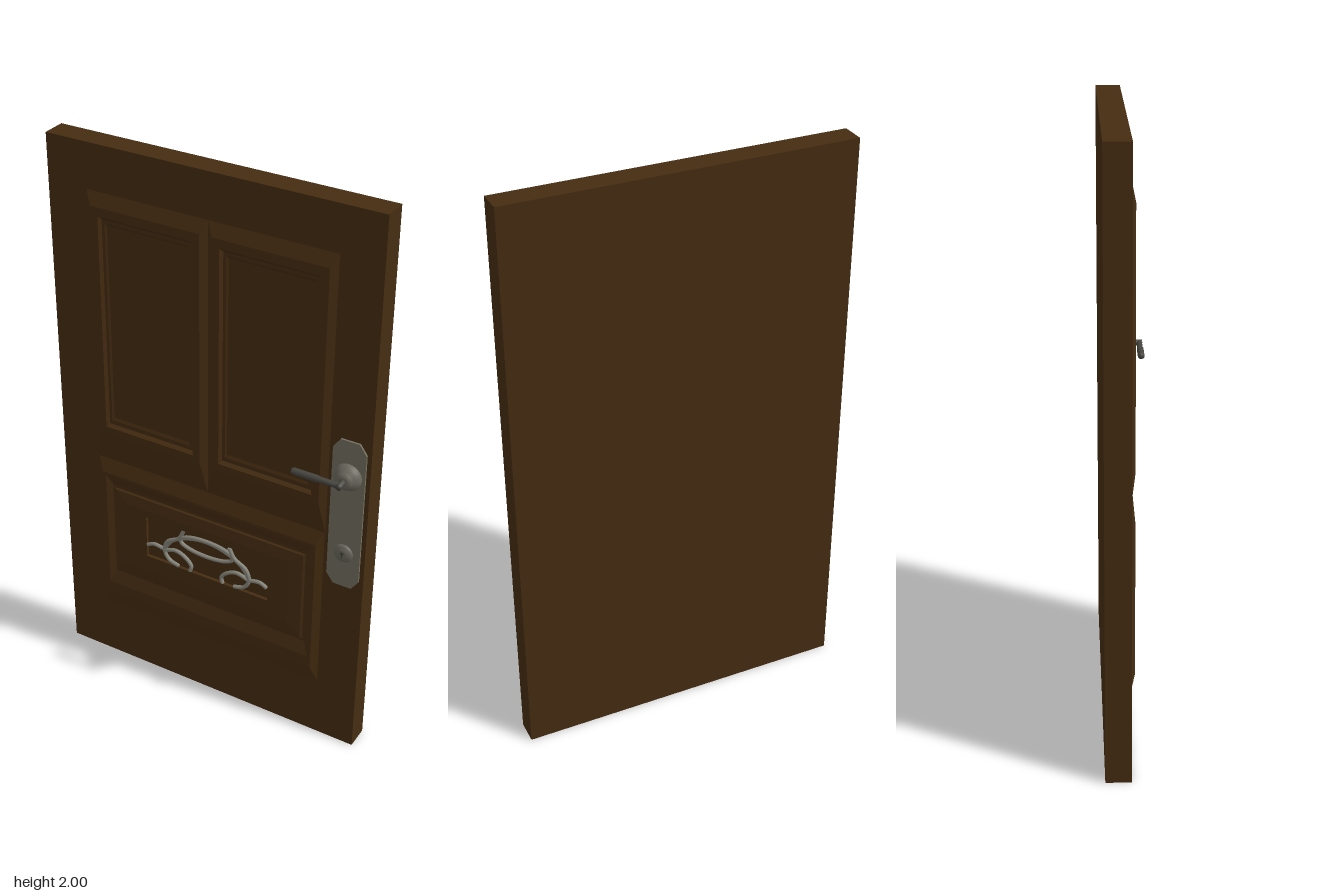
import * as THREE from 'three';

const paint = (color, flatShading = false) =>
  new THREE.MeshStandardMaterial({ color, flatShading, side: THREE.DoubleSide });
const wood = paint(0x452c11, true);
const plateMetal = paint(0x746f5f, true);
const knobMetal = paint(0x69675c);
const leverMetal = paint(0x45443e);
const silver = paint(0x85847a);

function add(parent, name, geometry, material, x = 0, y = 0, z = 0) {
  const mesh = new THREE.Mesh(geometry, material);
  mesh.name = name;
  mesh.position.set(x, y, z);
  parent.add(mesh);
  return mesh;
}

// Nested rectangles [x0, x1, y0, y1, z] joined from outside in, the last one filled
function moulding(rings) {
  const loops = rings.map(([x0, x1, y0, y1, z]) => [[x0, y0, z], [x1, y0, z], [x1, y1, z], [x0, y1, z]]);
  const pos = [];
  const quad = (a, b, c, d) => pos.push(...a, ...b, ...c, ...a, ...c, ...d);
  for (let k = 0; k + 1 < loops.length; k++) {
    const o = loops[k], n = loops[k + 1];
    for (let i = 0; i < 4; i++) {
      const j = (i + 1) % 4;
      quad(o[i], o[j], n[j], n[i]);
    }
  }
  quad(...loops[loops.length - 1]);
  const geometry = new THREE.BufferGeometry();
  geometry.setAttribute('position', new THREE.Float32BufferAttribute(pos, 3));
  geometry.computeVertexNormals();
  return geometry;
}

// Round profile of [radius, height] turned so its axis points to +z
const turned = (points) =>
  new THREE.LatheGeometry(points.map(([r, h]) => new THREE.Vector2(r, h)), 32).rotateX(Math.PI / 2);

const rod = (points, radius, closed = false) =>
  new THREE.TubeGeometry(
    new THREE.CatmullRomCurve3(points.map(([x, y, z]) => new THREE.Vector3(x, y, z)), closed),
    40, radius, 8, closed);

export function createModel() {
  const door = new THREE.Group();
  door.name = 'door';

  add(door, 'slab', new THREE.BoxGeometry(1.16, 2, 0.083), wood, 0, 1, -0.0415);

  // Two tall upper panels
  for (const [name, shift] of [['rightUpperPanel', -0.437], ['leftUpperPanel', 0]]) {
    add(door, name, moulding([
      [0, 0.437, 0.86, 1.845, 0],
      [0.022, 0.415, 0.975, 1.8, 0.016],
      [0.048, 0.389, 1.0, 1.77, 0.016],
      [0.056, 0.381, 1.01, 1.758, 0.005],
      [0.066, 0.371, 1.025, 1.747, 0.005],
      [0.072, 0.365, 1.035, 1.738, 0.001],
    ]), wood, shift);
  }

  // Wide lower panel with a raised field and a sunken window for the ornament
  add(door, 'lowerPanel', moulding([
    [-0.435, 0.435, 0.23, 0.86, 0],
    [-0.412, 0.412, 0.29, 0.81, 0.016],
    [-0.4, 0.4, 0.335, 0.8, 0.016],
    [-0.38, 0.38, 0.385, 0.76, 0.003],
    [-0.372, 0.372, 0.393, 0.75, 0.003],
    [-0.365, 0.365, 0.4, 0.745, 0.008],
    [-0.315, 0.315, 0.45, 0.705, 0.014],
    [-0.24, 0.24, 0.51, 0.675, 0.014],
    [-0.24, 0.24, 0.51, 0.675, 0.002],
  ]), wood);

  // Scrolled ornament: oval, arch and mirrored side scrolls
  const ornament = new THREE.Group();
  ornament.name = 'ornament';
  door.add(ornament);
  const oval = [];
  for (let i = 0; i < 16; i++) {
    const a = i / 16 * Math.PI * 2;
    oval.push([0.105 * Math.cos(a), 0.63 + 0.032 * Math.sin(a), 0.011]);
  }
  add(ornament, 'oval', rod(oval, 0.007, true), silver);
  add(ornament, 'arch', rod([[-0.17, 0.565, 0.011], [-0.14, 0.61, 0.011], [-0.08, 0.645, 0.011], [0, 0.66, 0.011],
    [0.08, 0.645, 0.011], [0.14, 0.61, 0.011], [0.17, 0.565, 0.011]], 0.007), silver);
  for (const s of [-1, 1]) {
    const side = (name, pts) => add(ornament, name, rod(pts.map(([x, y]) => [s * x, y, 0.012]), 0.007), silver);
    side('outerScroll', [[0.09, 0.672], [0.11, 0.635], [0.155, 0.605], [0.168, 0.565], [0.15, 0.53], [0.11, 0.515]]);
    side('innerScroll', [[0.165, 0.565], [0.12, 0.577], [0.08, 0.56], [0.06, 0.535], [0.065, 0.513]]);
    side('sideArm', [[0.237, 0.56], [0.21, 0.572], [0.165, 0.565]]);
  }

  // Lock plate with clipped corners
  const w = 0.0575, h = 0.278, c = 0.025, d = 0.035;
  const outline = new THREE.Shape([[-w, -h + d], [-w + c, -h], [w - c, -h], [w, -h + d],
    [w, h - d], [w - c, h], [-w + c, h], [-w, h - d]].map(([x, y]) => new THREE.Vector2(x, y)));
  const lockX = 0.508;
  add(door, 'lockPlate', new THREE.ExtrudeGeometry(outline, { depth: 0.007, bevelEnabled: false }),
    plateMetal, lockX, 0.957, 0);

  // Handle: stepped rosette, neck and lever
  const handle = new THREE.Group();
  handle.name = 'handle';
  handle.position.set(lockX, 1.107, 0);
  door.add(handle);
  add(handle, 'rosette', turned([[0.047, 0.005], [0.047, 0.015], [0.044, 0.02], [0.038, 0.03], [0.03, 0.034],
    [0.03, 0.038], [0.022, 0.044], [0.014, 0.046], [0, 0.046]]), knobMetal);
  add(handle, 'neck', turned([[0.011, 0.04], [0.011, 0.076], [0, 0.077]]), leverMetal);
  const lever = new THREE.LatheGeometry([[0, 0], [0.01, 0], [0.01, 0.075], [0.012, 0.085], [0.012, 0.165],
    [0.009, 0.172], [0, 0.173]].map(([r, y]) => new THREE.Vector2(r, y)), 20).rotateZ(Math.PI / 2);
  add(handle, 'lever', lever, leverMetal, 0.006, 0, 0.066);

  // Lock cylinder with keyhole
  add(door, 'lockCylinder', turned([[0.033, 0.005], [0.033, 0.011], [0.026, 0.016], [0.016, 0.018], [0.016, 0.02],
    [0, 0.02]]), knobMetal, lockX, 0.812, 0);
  add(door, 'keyhole', new THREE.CircleGeometry(0.006, 16), leverMetal, lockX, 0.816, 0.0208);
  add(door, 'keySlot', new THREE.PlaneGeometry(0.005, 0.015), leverMetal, lockX, 0.807, 0.0208);

  return door;
}
